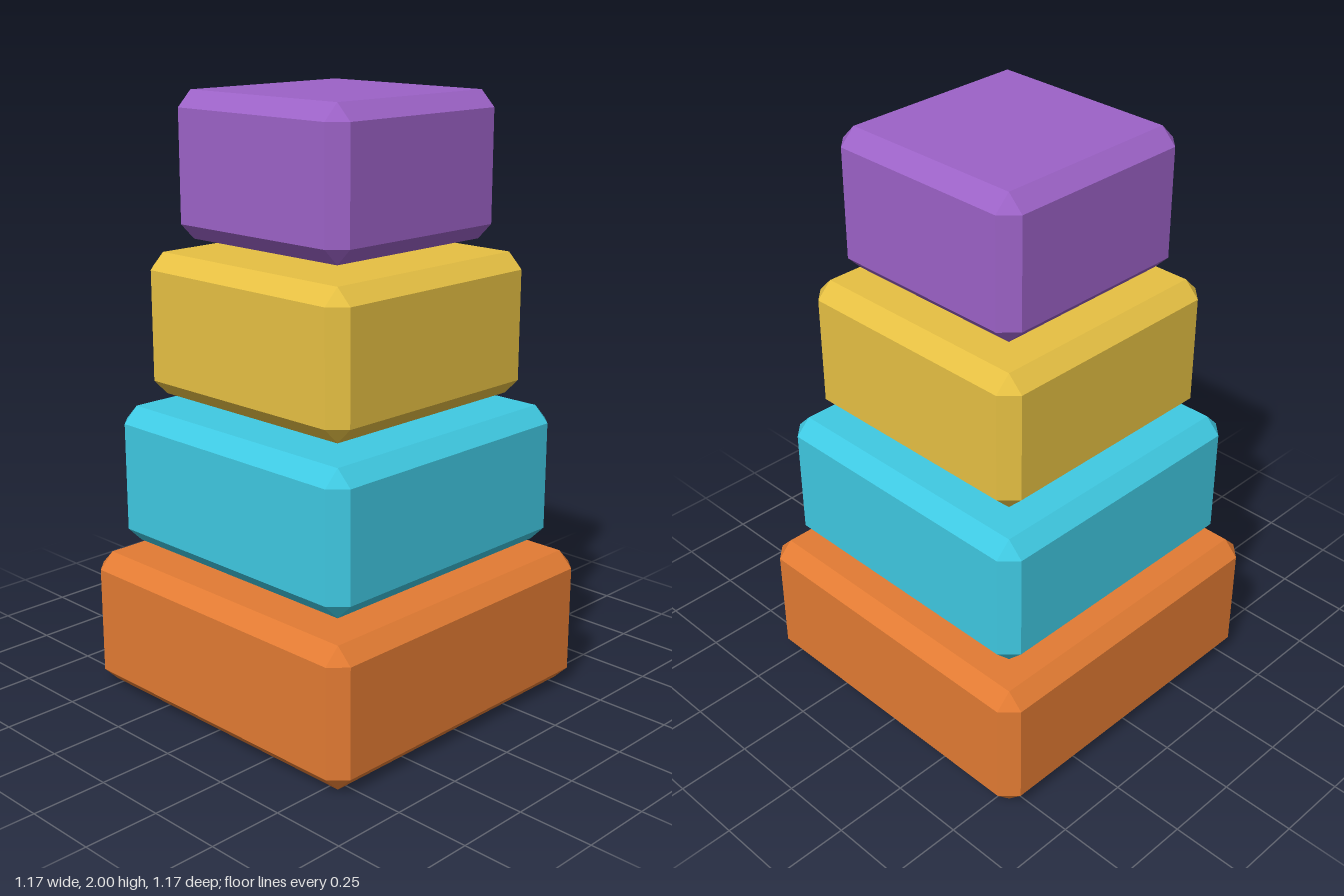
import * as THREE from 'three';
import { ConvexGeometry } from 'three/addons/geometries/ConvexGeometry.js';

const HEIGHT = 0.468;
const STEP = 0.5107;
const BEVEL = 0.052;

// Square block with flat chamfers on every edge and triangular corners
function chamferedBlock(half, height, bevel) {
  const size = [half, height / 2, half];
  const points = [];
  for (const sx of [-1, 1]) for (const sy of [-1, 1]) for (const sz of [-1, 1]) {
    for (let axis = 0; axis < 3; axis++) {
      // Each corner has three points, each touching one full-size face
      const p = size.map((s, i) => (i === axis ? s : s - bevel));
      points.push(new THREE.Vector3(sx * p[0], sy * p[1], sz * p[2]));
    }
  }
  return new ConvexGeometry(points);
}

export function createModel() {
  const model = new THREE.Group();
  model.name = 'stackingBlocks';

  // Blocks from bottom to top, each narrower than the last
  const blocks = [
    { name: 'bottomBlock', half: 0.585, color: 0xe27b33 },
    { name: 'lowerMiddleBlock', half: 0.515, color: 0x3fc9e2 },
    { name: 'upperMiddleBlock', half: 0.443, color: 0xe6c043 },
    { name: 'topBlock', half: 0.372, color: 0x9c62c7 },
  ];
  blocks.forEach(({ name, half, color }, i) => {
    const material = new THREE.MeshStandardMaterial({ color, flatShading: true });
    const block = new THREE.Mesh(chamferedBlock(half, HEIGHT, BEVEL), material);
    block.name = name;
    block.position.y = HEIGHT / 2 + i * STEP;
    model.add(block);
  });
  return model;
}
